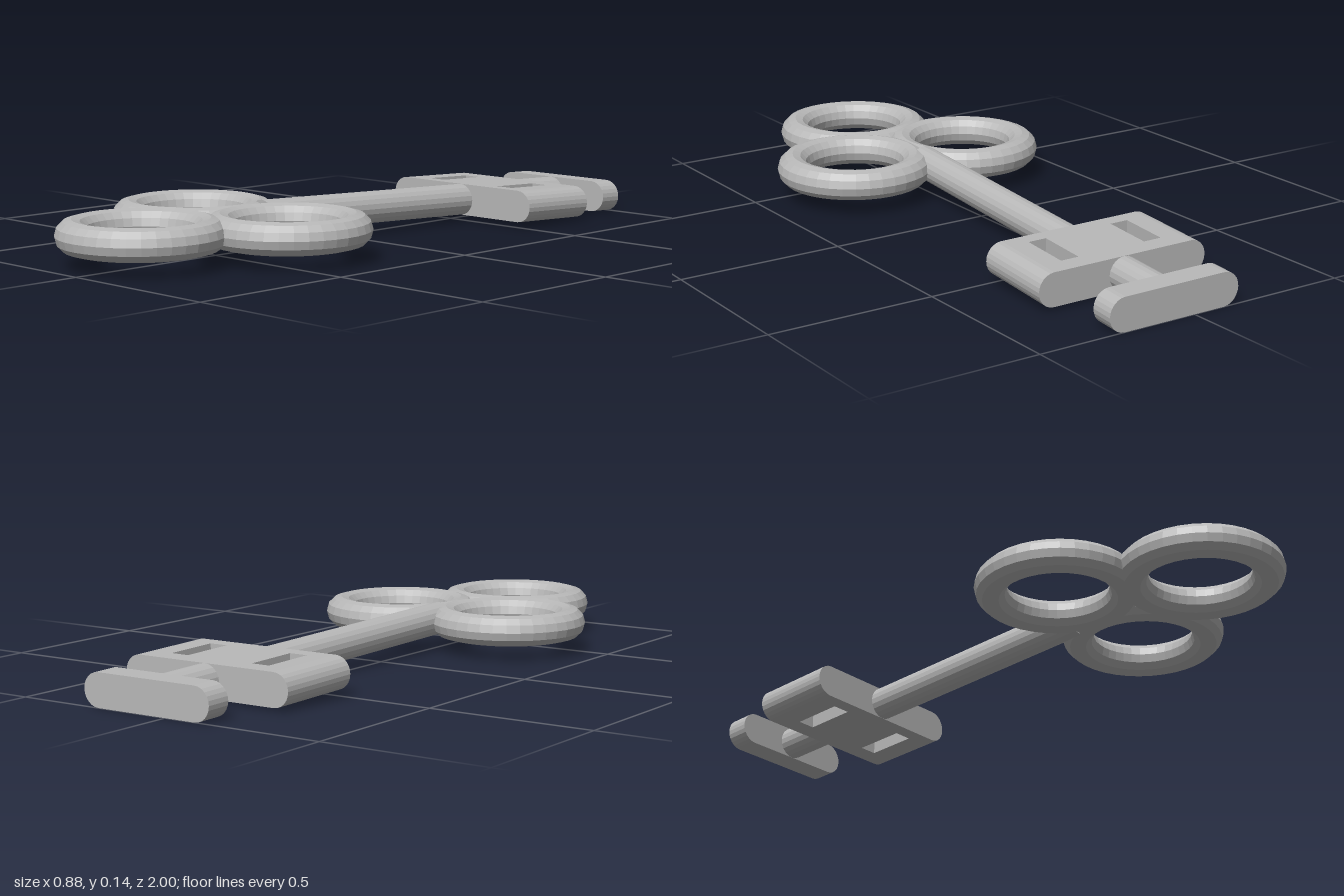
import * as THREE from 'three';

const R = 0.049; // half thickness shared by the shaft and the bit plates

export function createModel() {
  const model = new THREE.Group();
  model.name = 'key';
  const grey = new THREE.MeshStandardMaterial({ color: 0xb8b8b8, flatShading: true });
  grey.name = 'grey metal';

  // The shaft leans down and sideways towards the back: x and y slide with z
  const lean = new THREE.Matrix4().set(
    1, 0, -0.05, 0.016,
    0, 1, 0.033, 0.086,
    0, 0, 1, 0,
    0, 0, 0, 1
  );

  function add(name, geometry, parent = model) {
    const mesh = new THREE.Mesh(geometry, grey);
    mesh.name = name;
    parent.add(mesh);
    return mesh;
  }

  // Flat bar with half-round ends and optional rectangular slots
  function addPlate(name, halfWidth, zBack, zFront, slots = []) {
    const group = new THREE.Group();
    group.name = name;
    model.add(group);
    const w = halfWidth - R;

    // Plan outline drawn in x and -z, then laid flat
    const rect = (path, x0, x1, z0, z1) => path
      .moveTo(x0, -z1).lineTo(x1, -z1).lineTo(x1, -z0).lineTo(x0, -z0).closePath();
    const shape = new THREE.Shape();
    rect(shape, -w, w, zBack, zFront);
    for (const [x0, x1, z0, z1] of slots) {
      const hole = new THREE.Path();
      rect(hole, x0, x1, z0, z1);
      shape.holes.push(hole);
    }
    const body = new THREE.ExtrudeGeometry(shape, { depth: 2 * R, bevelEnabled: false });
    body.rotateX(-Math.PI / 2).translate(0, -R, 0).applyMatrix4(lean);
    add(name + 'Body', body, group);

    // Half-round ends
    for (const side of [-1, 1]) {
      const start = side > 0 ? 0 : Math.PI;
      const end = new THREE.CylinderGeometry(R, R, zFront - zBack, 12, 1, false, start, Math.PI);
      end.rotateX(Math.PI / 2).translate(side * w, 0, (zBack + zFront) / 2).applyMatrix4(lean);
      add(name + (side > 0 ? 'LeftEnd' : 'RightEnd'), end, group);
    }
  }

  // Handle: three touching rings
  const rings = [['rightRing', -0.199, 0.405], ['leftRing', 0.199, 0.405], ['frontRing', -0.011, 0.762]];
  for (const [name, x, z] of rings) {
    const ring = new THREE.TorusGeometry(0.192, 0.047, 12, 36);
    ring.rotateX(Math.PI / 2);
    add(name, ring).position.set(x, 0.092, z);
  }

  // Shaft
  const shaftFront = 0.32, shaftBack = -0.95;
  const shaft = new THREE.CylinderGeometry(R, R, shaftFront - shaftBack, 20);
  shaft.rotateX(Math.PI / 2).translate(0, 0, (shaftFront + shaftBack) / 2).applyMatrix4(lean);
  add('shaft', shaft);

  // Slotted bit and narrow end bar
  addPlate('slottedBit', 0.282, -0.766, -0.5, [
    [-0.17, -0.112, -0.706, -0.545],
    [0.112, 0.17, -0.706, -0.545],
  ]);
  addPlate('endBar', 0.215, -1, -0.925);

  return model;
}
